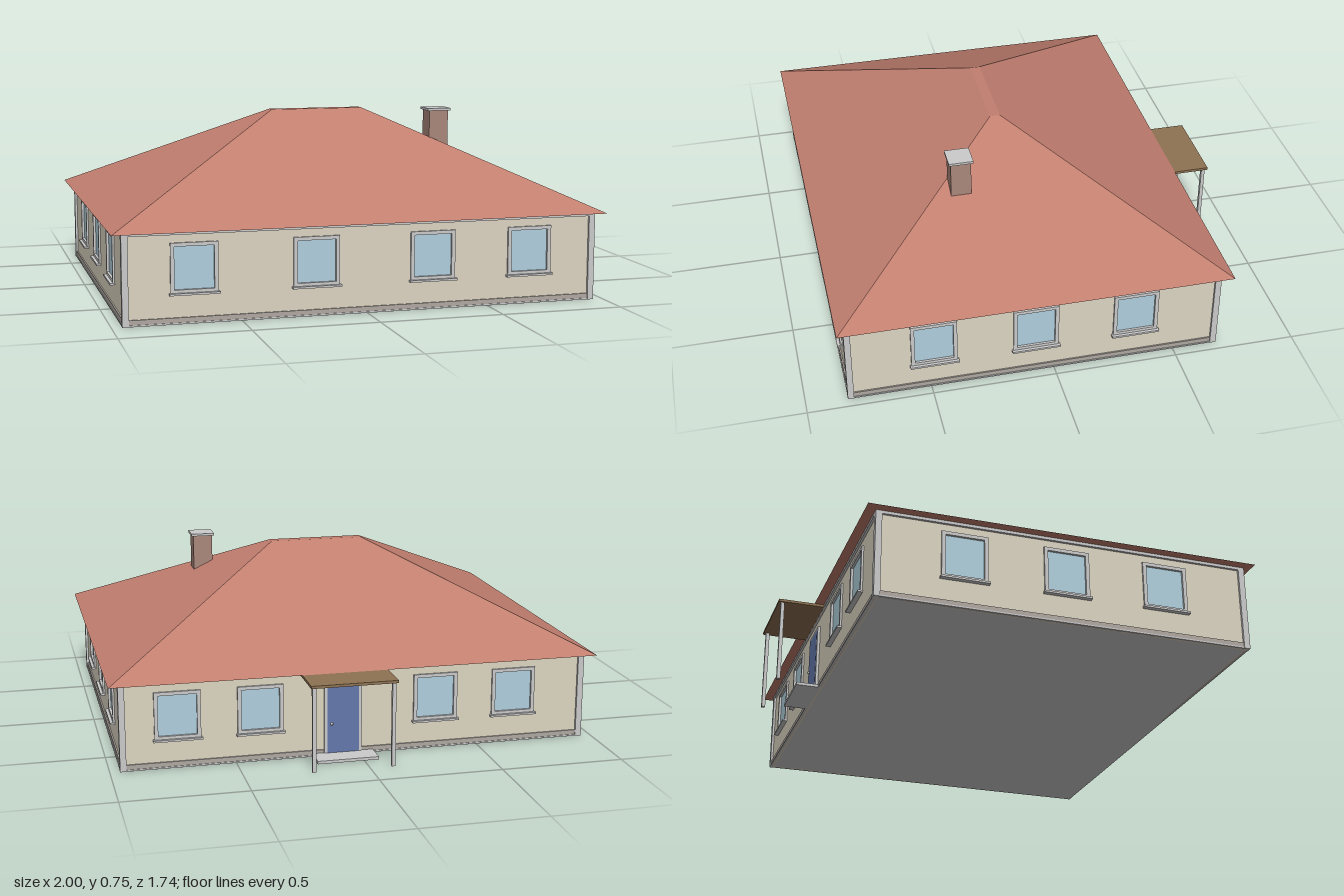
import * as THREE from 'three';
import { ConvexGeometry } from 'three/addons/geometries/ConvexGeometry.js';

const mat = (color) => new THREE.MeshStandardMaterial({ color });
const grey = mat(0xcccccc), plaster = mat(0xddd5c2), tile = mat(0xc27f70), glass = mat(0xb0d0de),
  brown = mat(0x8f7353), doorBlue = mat(0x6478ad), brick = mat(0xaa877b), plinthGrey = mat(0xb0a8a2);

// House body: half width, centre z, half depth, eave height
const HX = 0.96, CZ = 0.075, HZ = 0.76, EAVE = 0.355, RECESS = 0.01;

function add(parent, name, geometry, material, x = 0, y = 0, z = 0) {
  const mesh = new THREE.Mesh(geometry, material);
  mesh.name = name;
  mesh.position.set(x, y, z);
  parent.add(mesh);
  return mesh;
}

// Box given by its centre in x and z and its bottom in y
function box(parent, name, material, w, h, d, x, y, z) {
  return add(parent, name, new THREE.BoxGeometry(w, h, d), material, x, y + h / 2, z);
}

function rect(Type, x0, y0, x1, y1) {
  const s = new Type();
  s.moveTo(x0, y0).lineTo(x1, y0).lineTo(x1, y1).lineTo(x0, y1).closePath();
  return s;
}

function plate(shape, depth) {
  return new THREE.ExtrudeGeometry(shape, { depth, bevelEnabled: false });
}

// Window facing local +z, centred on x = 0
function makeWindow() {
  const g = new THREE.Group();
  g.name = 'window';
  const frame = rect(THREE.Shape, -0.092, 0.12, 0.092, 0.312);
  frame.holes.push(rect(THREE.Path, -0.077, 0.132, 0.077, 0.298));
  add(g, 'windowFrame', plate(frame, 0.012), grey, 0, 0, -RECESS - 0.004);
  box(g, 'windowPane', glass, 0.158, 0.17, 0.004, 0, 0.13, -0.014);
  box(g, 'windowSill', grey, 0.195, 0.008, 0.024, 0, 0.112, -0.002);
  return g;
}

// One wall facing local +z, with openings, plinth and top trim
function makeWall(name, half, windowXs) {
  const g = new THREE.Group();
  g.name = name;
  const shape = rect(THREE.Shape, -half + 0.012, 0, half - 0.012, EAVE);
  for (const x of windowXs) {
    shape.holes.push(rect(THREE.Path, x - 0.078, 0.131, x + 0.078, 0.299));
    const w = makeWindow();
    w.position.x = x;
    g.add(w);
  }
  add(g, 'wallPanel', plate(shape, 0.01), plaster, 0, 0, -RECESS - 0.01);
  box(g, 'plinth', plinthGrey, 2 * half - 0.04, 0.025, 0.01, 0, 0, -0.009);
  box(g, 'topTrim', grey, 2 * half - 0.04, 0.012, 0.012, 0, EAVE - 0.012, -0.006);
  return g;
}

export function createModel() {
  const model = new THREE.Group();
  model.name = 'house';

  // Four walls, each turned to face outward
  const sideZs = [0.41, 0, -0.41];
  const walls = [
    ['frontWall', HX, [-0.683, -0.204, 0.27, 0.678], 0, 0, CZ + HZ],
    ['backWall', HX, [-0.73, -0.4, 0.322, 0.655], Math.PI, 0, CZ - HZ],
    ['leftWall', HZ, sideZs, Math.PI / 2, HX, CZ],
    ['rightWall', HZ, sideZs, -Math.PI / 2, -HX, CZ],
  ];
  for (const [name, half, xs, turn, x, z] of walls) {
    const wall = makeWall(name, half, xs);
    wall.rotation.y = turn;
    wall.position.set(x, 0, z);
    model.add(wall);
  }

  // Corner posts and floor
  for (const sx of [-1, 1]) for (const sz of [-1, 1])
    box(model, 'cornerPost', grey, 0.025, EAVE, 0.025, sx * (HX - 0.0125), 0, CZ + sz * (HZ - 0.0125));
  box(model, 'floor', grey, 2 * HX - 0.002, 0.006, 2 * HZ - 0.002, 0, 0, CZ);

  // Hipped roof with a small flat ridge
  const corners = [];
  for (const sx of [-1, 1]) {
    for (const z of [-0.725, 0.865]) corners.push(new THREE.Vector3(sx, EAVE, z));
    for (const z of [0.05, 0.092]) corners.push(new THREE.Vector3(sx * 0.2, 0.737, z));
  }
  add(model, 'roof', new ConvexGeometry(corners), tile);

  // Chimney
  box(model, 'chimneyShaft', brick, 0.083, 0.2, 0.083, 0.473, 0.54, 0.28);
  box(model, 'chimneyCap', grey, 0.1, 0.01, 0.1, 0.473, 0.737, 0.28);

  // Back entrance: door, step and canopy on two posts
  const PX = 0.065, BACK = CZ - HZ;
  const porch = new THREE.Group();
  porch.name = 'porch';
  model.add(porch);
  box(porch, 'door', doorBlue, 0.13, 0.275, 0.016, PX, 0.012, BACK + 0.006);
  for (const s of [-1, 1])
    box(porch, 'doorJamb', grey, 0.012, 0.287, 0.014, PX + s * 0.071, 0, BACK + 0.006);
  box(porch, 'doorLintel', grey, 0.154, 0.012, 0.014, PX, 0.287, BACK + 0.006);
  add(porch, 'doorKnob', new THREE.SphereGeometry(0.006, 10, 8), grey, PX + 0.048, 0.135, BACK - 0.006);
  box(porch, 'step', grey, 0.25, 0.012, 0.1, PX, 0, BACK - 0.04);
  box(porch, 'canopy', brown, 0.35, 0.011, 0.195, PX, 0.344, -0.7775);
  for (const s of [-1, 1])
    box(porch, 'canopyPost', grey, 0.015, 0.344, 0.015, PX + s * 0.16, 0, -0.858);

  return model;
}
